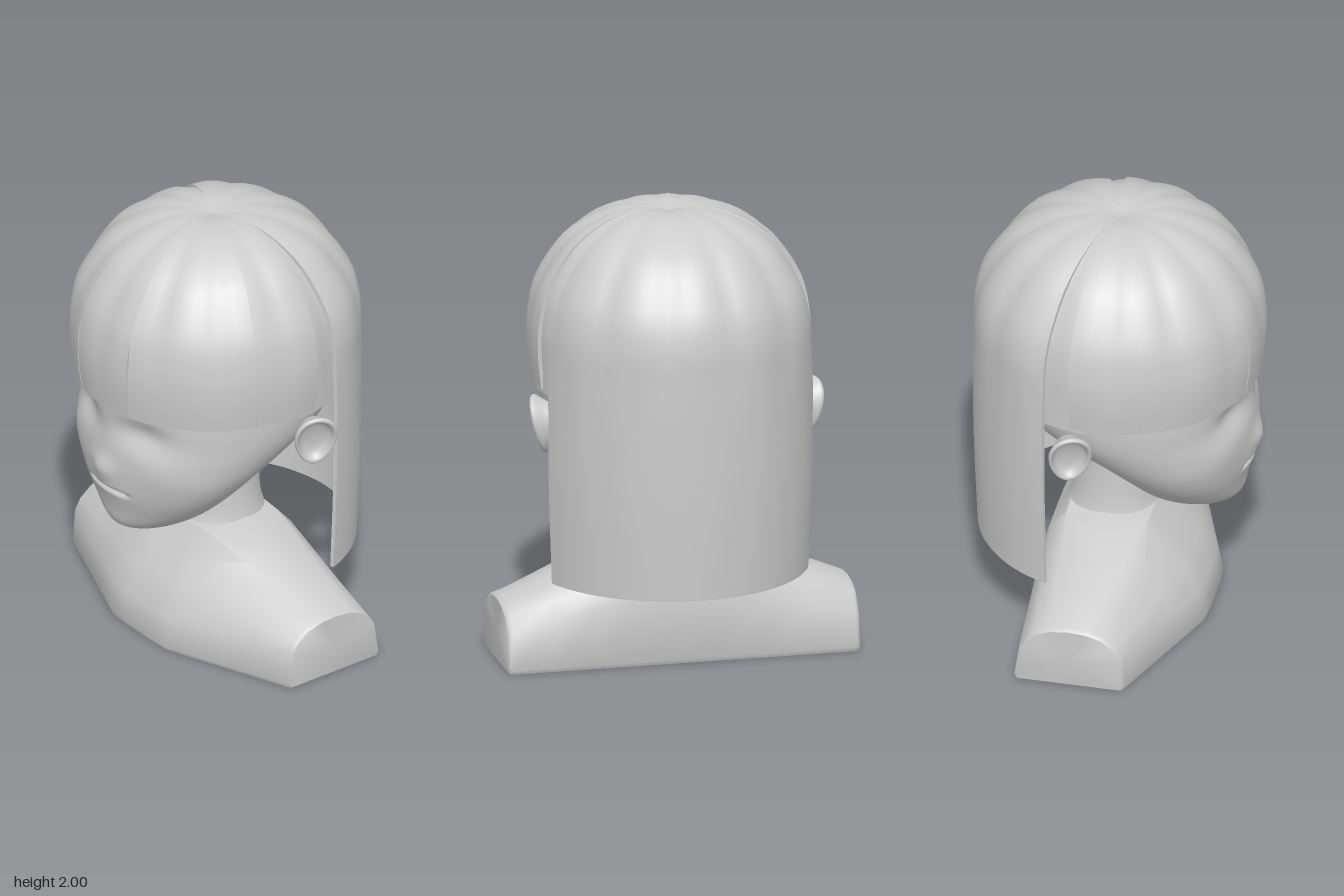
import * as THREE from 'three';
import { mergeVertices, toCreasedNormals } from 'three/addons/utils/BufferGeometryUtils.js';

const { lerp, clamp, degToRad } = THREE.MathUtils;
const bell = (x) => Math.exp(-x * x);

// Surface through a grid of points; outward side is dU x dV
function grid(nu, nv, point, crease) {
  const pos = [], idx = [];
  for (let i = 0; i <= nu; i++) for (let j = 0; j <= nv; j++) pos.push(...point(i, j));
  for (let i = 0; i < nu; i++) for (let j = 0; j < nv; j++) {
    const a = i * (nv + 1) + j, b = a + nv + 1;
    idx.push(a, b, b + 1, a, b + 1, a + 1);
  }
  let geo = new THREE.BufferGeometry();
  geo.setAttribute('position', new THREE.Float32BufferAttribute(pos, 3));
  geo.setIndex(idx);
  geo = mergeVertices(geo, 1e-5);
  if (crease) return toCreasedNormals(geo, crease);
  geo.computeVertexNormals();
  return geo;
}

// Smooth curve through one column of a table against its key column
const column = (rows, key, k) => new THREE.SplineCurve(rows.map((r) => new THREE.Vector2(r[k], r[key])));

// Stack of oval rings; rows are [y, half width, front z, back z]
function ringLoft(rows, nu, nv, shape = (p) => p) {
  const [w, f, b] = [1, 2, 3].map((k) => column(rows, 0, k));
  return grid(nu, nv, (i, j) => {
    const t = j / nv, a = (i % nu) / nu * Math.PI * 2;
    const W = w.getPoint(t), zf = f.getPoint(t).x, zb = b.getPoint(t).x;
    return shape([W.x * Math.sin(a), W.y, (zf + zb) / 2 + (zf - zb) / 2 * Math.cos(a)]);
  });
}

// Nose, eye sockets, cheeks and mouth line pressed into the front of the head
function face([x, y, z]) {
  if (z > 0.2) {
    const ax = Math.abs(x);
    z += 0.028 * bell(x / 0.07) * bell((y - 0.91) / 0.06);
    z -= 0.04 * bell((ax - 0.19) / 0.12) * bell((y - 1.14) / 0.07);
    z += 0.012 * bell((ax - 0.3) / 0.1) * bell((y - 0.98) / 0.08);
    z += 0.01 * bell(x / 0.12) * bell((y - 0.82) / 0.05);
    z -= 0.025 * bell((y - 0.81) / 0.01) * clamp((0.135 - ax) / 0.02, 0, 1);
  }
  return [x, y, z];
}

// Shoulder block: one profile [z, y] at the middle blends to another at the arm ends
const MID = [[0.42, 0], [0.43, 0.02], [0.405, 0.15], [0.34, 0.28], [0.25, 0.39], [0.17, 0.5], [-0.02, 0.52],
  [-0.2, 0.5], [-0.27, 0.42], [-0.3, 0.33], [-0.305, 0.02], [-0.295, 0]];
const END = [[0.18, 0], [0.19, 0.02], [0.18, 0.17], [0.15, 0.22], [0.09, 0.265], [0.02, 0.285], [-0.06, 0.29],
  [-0.15, 0.28], [-0.22, 0.25], [-0.28, 0.17], [-0.305, 0.02], [-0.295, 0]];
function bustGeometry() {
  // [x, blend towards the end, scale about the end centre]
  const half = [[0.1, 0, 1], [0.19, 0.03, 1], [0.38, 0.34, 1], [0.58, 0.67, 1], [0.77, 0.98, 1],
    [0.785, 1, 0.98], [0.79, 1, 0.95], [0.79, 1, 0]];
  const st = [...half.map(([x, t, s]) => [-x, t, s]).reverse(), [0, 0, 1], ...half];
  return grid(st.length - 1, MID.length, (i, j) => {
    const [x, t, s] = st[i], m = MID[j % MID.length], e = END[j % MID.length];
    return [x, lerp(0.13, lerp(m[1], e[1], t), s), lerp(-0.06, lerp(m[0], e[0], t), s)];
  }, 0.7);
}

// Hair profiles from crown to hem as [radius ratio, y]
const CROWN = [[0, 1.98], [0.16, 1.998], [0.32, 1.992], [0.47, 1.965], [0.63, 1.912], [0.78, 1.83],
  [0.94, 1.67], [0.995, 1.52], [1, 1.38]];
const SHORT = [...CROWN, [0.975, 1.235]];
const LONG = [...CROWN, [1, 1.15], [0.995, 0.8], [0.97, 0.38]];

// Thin panel of hair between two angles (0 = front); slits open at its sides below the given heights
function hairPanel(profile, from, to, { rx = 0.622, rz = 0.632, slits = [0, 0], scale = 1 } = {}) {
  const curve = column(profile, 1, 0), n = 30;
  const nu = Math.max(4, Math.round((to - from) / 4)) + 2;
  const a0 = degToRad(from), a1 = degToRad(to);
  return grid(nu, 2 * n + 1, (i, j) => {
    const outer = j > n;
    const p = curve.getPoint(outer ? (2 * n + 1 - j) / n : j / n);
    const gap = slits.map((s) => 0.007 * clamp((s - p.y) / 0.05, 0, 1));
    const a = lerp(a0 + gap[0], a1 - gap[1], clamp((i - 1) / (nu - 2), 0, 1));
    // Locks bulge between creases, strongest near the crown
    const lock = 0.028 * (1 - Math.abs(Math.sin(a * 6.5))) * clamp((p.y - 1.2) / 0.5, 0.1, 1);
    let r = p.x * scale * (1 - lock), y = p.y - lock * 0.3 * p.x;
    if (!outer || i === 0 || i === nu) {
      r *= 0.972;
      y = y > 1.3 ? 1.3 + (y - 1.3) * 0.975 : y;
    }
    return [r * rx * Math.sin(a), y, 0.012 + r * rz * Math.cos(a)];
  }, 0.5);
}

// Dished ear facing outwards; s is the side
function earGeometry(s) {
  const pts = [[0, -0.09], [0.05, -0.075], [0.075, -0.035], [0.095, -0.005], [0.102, 0.01], [0.097, 0.022],
    [0.085, 0.018], [0.074, -0.004], [0.05, -0.02], [0, -0.026]].map((p) => new THREE.Vector2(...p));
  const geo = new THREE.LatheGeometry(new THREE.SplineCurve(pts).getPoints(30), 36);
  geo.rotateZ(-s * Math.PI / 2).scale(1, 1.3, 1);
  const p = geo.attributes.position;
  for (let i = 0; i < p.count; i++) p.setZ(i, p.getZ(i) * (0.93 + 1.3 * p.getY(i)));
  geo.computeVertexNormals();
  return geo.rotateZ(-s * 0.24).rotateY(-s * 0.38).translate(s * 0.595, 1.08, -0.095);
}

export function createModel() {
  const model = new THREE.Group();
  const material = new THREE.MeshStandardMaterial({ color: 0xcccccc });
  const add = (name, geo) => {
    const mesh = new THREE.Mesh(geo, material);
    mesh.name = name;
    model.add(mesh);
  };

  // Body
  add('shoulders', bustGeometry());
  add('neck', ringLoft([[0.36, 0.26, 0.25, -0.27], [0.46, 0.2, 0.19, -0.24], [0.54, 0.178, 0.16, -0.212],
    [0.65, 0.168, 0.15, -0.2], [0.78, 0.17, 0.14, -0.2], [0.95, 0.19, 0.13, -0.22]], 40, 24));

  // Head
  add('head', ringLoft([[0.585, 0, 0.4, 0.4], [0.587, 0.06, 0.49, 0.28], [0.6, 0.14, 0.535, 0.19],
    [0.635, 0.21, 0.56, 0.12], [0.7, 0.295, 0.575, 0.05], [0.8, 0.39, 0.598, -0.04], [0.9, 0.46, 0.612, -0.16],
    [1, 0.51, 0.612, -0.32], [1.1, 0.545, 0.605, -0.46], [1.22, 0.562, 0.606, -0.54], [1.4, 0.565, 0.59, -0.57],
    [1.6, 0.52, 0.53, -0.53], [1.8, 0.38, 0.39, -0.38], [1.9, 0.18, 0.18, -0.18], [1.92, 0, 0, 0]], 96, 170, face));
  add('leftEar', earGeometry(1));
  add('rightEar', earGeometry(-1));

  // Fringe panels divided by slits
  const edges = [-100, -71, -16.5, 16.5, 71, 100], tops = [0, 1.27, 1.6, 1.6, 1.27, 0];
  for (let k = 0; k < 5; k++)
    add('fringePanel' + (k + 1), hairPanel(SHORT, edges[k], edges[k + 1], { slits: [tops[k], tops[k + 1]] }));

  // Under layer behind each temple, then the long back sheet
  const under = [...CROWN, [0.995, 1.215]];
  add('leftTempleHair', hairPanel(under, 92, 122, { scale: 0.965 }));
  add('rightTempleHair', hairPanel(under, -122, -92, { scale: 0.965 }));
  add('backHair', hairPanel(LONG, 110.5, 249.5, { rx: 0.637, rz: 0.657 }));
  return model;
}
